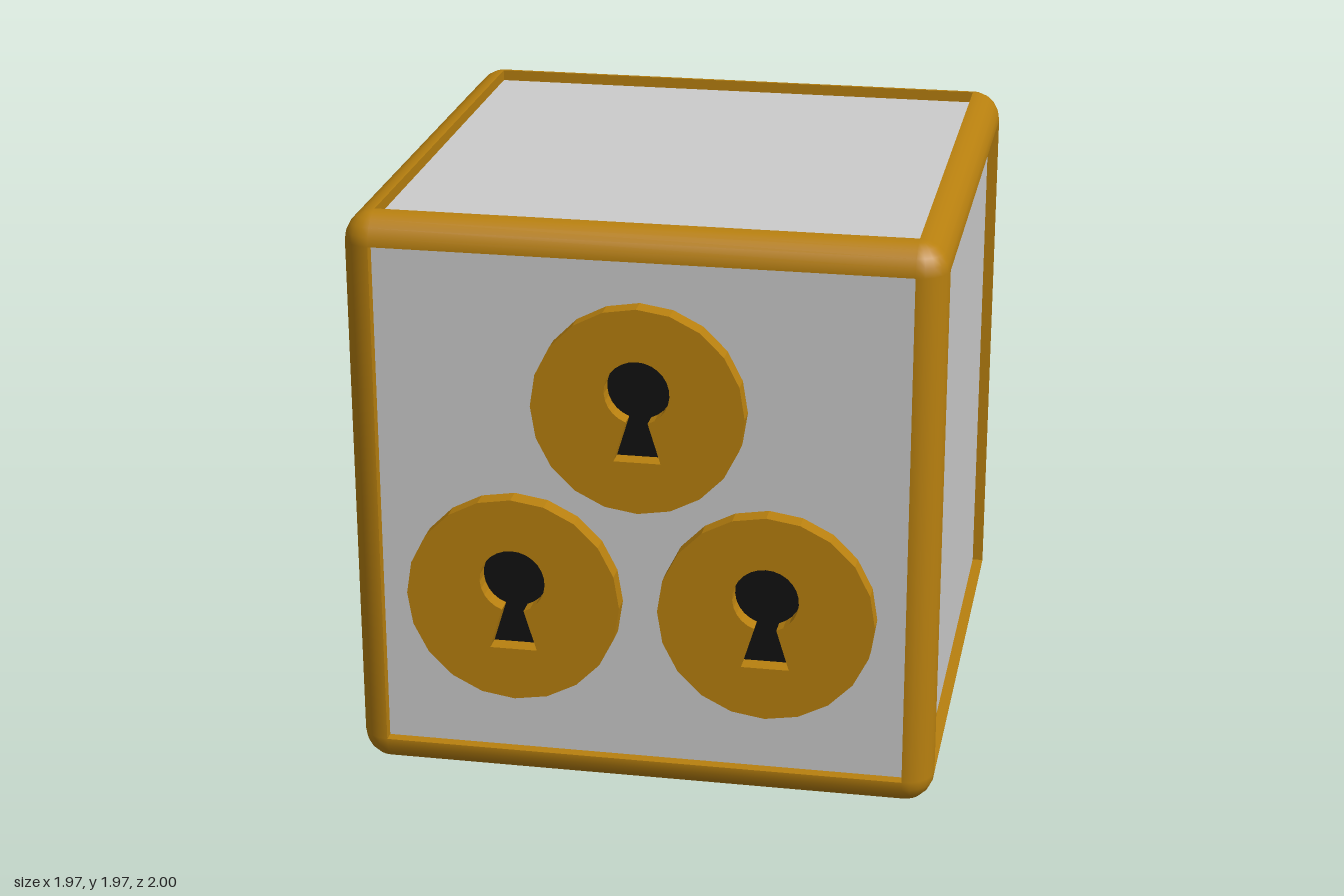
import * as THREE from 'three';

const gold = new THREE.MeshStandardMaterial({ color: 0xb8800f });
const goldFlat = new THREE.MeshStandardMaterial({ color: 0xb8800f, flatShading: true, side: THREE.DoubleSide });
const grey = new THREE.MeshStandardMaterial({ color: 0xcccccc });
const black = new THREE.MeshStandardMaterial({ color: 0x111111 });

const HALF = 0.986;           // half the cube's width
const R = 0.1;                // rounding of the frame
const A = HALF - R;           // half the panel's width
const RECESS = 0.038;         // how far panels sit behind the frame

function add(parent, name, geometry, material, x = 0, y = 0, z = 0) {
  const mesh = new THREE.Mesh(geometry, material);
  mesh.name = name;
  mesh.position.set(x, y, z);
  parent.add(mesh);
  return mesh;
}

// Round head with a flared slot below, as one outline
function keyholePoints() {
  const r = 0.108, cy = 0.067, half = 0.036;
  const start = -Math.PI / 2 + Math.asin(half / r);
  const sweep = Math.PI * 2 - 2 * Math.asin(half / r);
  const points = [new THREE.Vector2(-0.078, -0.173), new THREE.Vector2(0.078, -0.173)];
  for (let i = 0; i <= 24; i++) {
    const a = start + (sweep * i) / 24;
    points.push(new THREE.Vector2(r * Math.cos(a), cy + r * Math.sin(a)));
  }
  return points;
}

function createLock(radius) {
  const lock = new THREE.Group();
  lock.name = 'lock';
  const depth = RECESS + 0.028;
  const disc = new THREE.Shape();
  for (let i = 0; i < 20; i++) {
    const a = (i / 20) * Math.PI * 2;
    const x = 0.353 * Math.cos(a), y = 0.353 * Math.sin(a);
    if (i) disc.lineTo(x, y); else disc.moveTo(x, y);
  }
  disc.closePath();
  disc.holes.push(new THREE.Path(keyholePoints()));
  add(lock, 'lockPlate', new THREE.ExtrudeGeometry(disc, { depth, bevelEnabled: false }), goldFlat);
  add(lock, 'keyhole', new THREE.ShapeGeometry(new THREE.Shape(keyholePoints())), black, 0, 0, 0.006);
  lock.scale.set(radius / 0.353, radius / 0.353, 1);
  return lock;
}

export function createModel() {
  const model = new THREE.Group();
  model.name = 'lockBox';
  const cube = new THREE.Group();
  cube.name = 'cube';
  cube.position.set(0, HALF, -0.014);
  model.add(cube);

  // Rounded frame edges: four along each axis
  const edge = new THREE.CylinderGeometry(R, R, 2 * A, 5, 1, true, 0, Math.PI / 2).translate(A, 0, A);
  for (const [rx, rz] of [[0, 0], [Math.PI / 2, 0], [0, Math.PI / 2]]) {
    const set = new THREE.Group();
    set.name = 'frameEdges';
    set.rotation.set(rx, 0, rz);
    for (let i = 0; i < 4; i++) add(set, 'frameEdge', edge, gold).rotation.y = (i * Math.PI) / 2;
    cube.add(set);
  }

  // Rounded frame corners: four on top, four below
  const corner = new THREE.SphereGeometry(R, 5, 5, 0, Math.PI / 2, 0, Math.PI / 2).translate(-A, A, A);
  for (const rx of [0, Math.PI]) {
    const set = new THREE.Group();
    set.name = 'frameCorners';
    set.rotation.x = rx;
    for (let i = 0; i < 4; i++) add(set, 'frameCorner', corner, gold).rotation.y = (i * Math.PI) / 2;
    cube.add(set);
  }

  // Six recessed panels, each with a square inner lip of the frame
  const panel = new THREE.PlaneGeometry(2 * A, 2 * A);
  const lip = new THREE.CylinderGeometry(A * Math.SQRT2, A * Math.SQRT2, RECESS, 4, 1, true)
    .rotateY(Math.PI / 4).rotateX(Math.PI / 2);
  const turns = [[0, 0], [0, Math.PI / 2], [0, Math.PI], [0, -Math.PI / 2], [Math.PI / 2, 0], [-Math.PI / 2, 0]];
  for (const [rx, ry] of turns) {
    const side = new THREE.Group();
    side.name = 'side';
    side.rotation.set(rx, ry, 0);
    add(side, 'panel', panel, grey, 0, 0, HALF - RECESS);
    add(side, 'frameLip', lip, goldFlat, 0, 0, HALF - RECESS / 2);
    cube.add(side);
  }

  // Three locks on the front
  for (const [x, y, radius] of [[0, 1.371, 0.353], [-0.426, 0.672, 0.362], [0.426, 0.672, 0.362]]) {
    const lock = createLock(radius);
    lock.position.set(x, y - HALF, HALF - RECESS);
    cube.add(lock);
  }
  return model;
}
